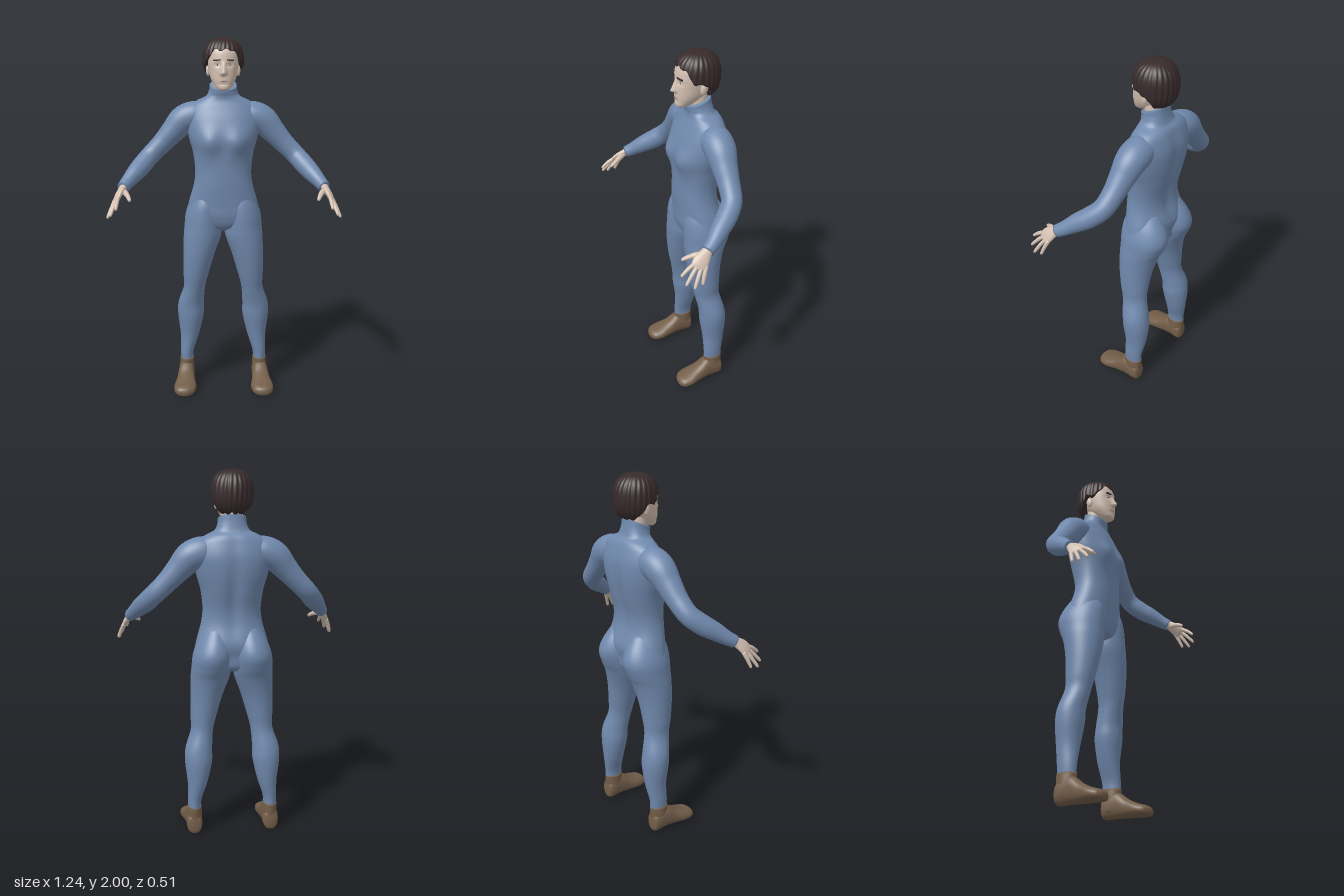
import * as THREE from 'three';

const mat = (name, color) => Object.assign(new THREE.MeshStandardMaterial({ color }), { name });
const gauss = (d, s) => Math.exp(-(d / s) * (d / s));
const Y = new THREE.Vector3(0, 1, 0), Z = new THREE.Vector3(0, 0, 1);

// Closed surface from a grid of rings: rows of equal length, capped at both ends
function skin(rows, n) {
  const pos = [], idx = [];
  rows.forEach(r => r.forEach(p => pos.push(p.x, p.y, p.z)));
  for (let i = 0; i < rows.length - 1; i++) for (let j = 0; j < n; j++) {
    const a = i * n + j, b = i * n + (j + 1) % n, c = a + n, d = b + n;
    idx.push(a, c, b, b, c, d);
  }
  [0, rows.length - 1].forEach((i, end) => {
    const c = new THREE.Vector3();
    rows[i].forEach(p => c.addScaledVector(p, 1 / n));
    const k = pos.length / 3;
    pos.push(c.x, c.y, c.z);
    for (let j = 0; j < n; j++) {
      const a = i * n + j, b = i * n + (j + 1) % n;
      end ? idx.push(k, b, a) : idx.push(k, a, b);
    }
  });
  const g = new THREE.BufferGeometry();
  g.setAttribute('position', new THREE.Float32BufferAttribute(pos, 3));
  g.setIndex(idx);
  g.computeVertexNormals();
  return g;
}

// Smooth loft through sections [x, y, z, halfWidth, halfDepth]
function loft(sections, { axis = null, ref = [1, 0, 0], side = 1, n = 32, steps = 6, k = 2, deform = null } = {}) {
  const spine = new THREE.CatmullRomCurve3(sections.map(s => new THREE.Vector3(s[0] * side, s[1], s[2])), false, 'catmullrom');
  const size = new THREE.CatmullRomCurve3(sections.map(s => new THREE.Vector3(s[3], s[4] ?? s[3], 0)), false, 'catmullrom');
  const R = new THREE.Vector3(ref[0] * side, ref[1], ref[2]);
  const rows = [], count = (sections.length - 1) * steps;
  const pw = v => Math.sign(v) * Math.pow(Math.abs(v), 2 / k);
  for (let i = 0; i <= count; i++) {
    const c = spine.getPoint(i / count), r = size.getPoint(i / count);
    const t = axis ?? spine.getTangent(i / count);
    const u = R.clone().addScaledVector(t, -R.dot(t)).normalize();
    const v = u.clone().cross(t).normalize();
    const row = [];
    for (let j = 0; j < n; j++) {
      const a = j / n * Math.PI * 2;
      const p = c.clone().addScaledVector(u, pw(Math.cos(a)) * r.x).addScaledVector(v, pw(Math.sin(a)) * r.y);
      if (deform) deform(p, Math.sin(a));
      row.push(p);
    }
    rows.push(row);
  }
  return skin(rows, n);
}

// Hair cap: strands radiate from the crown, the hem rises over the face
function hairGeometry() {
  const n = 144, m = 28, rows = [];
  const { lerp, smoothstep } = THREE.MathUtils;
  for (let i = 0; i <= m + 1; i++) {
    const row = [];
    for (let j = 0; j < n; j++) {
      const f = j / n * Math.PI * 2, d = Math.min(f, Math.PI * 2 - f);
      const hem = lerp(lerp(1.935, 1.86, smoothstep(d, 0.45, 1.2)), 1.778, smoothstep(d, 1.5, 2.3)) + 0.007 * Math.sin(11 * f);
      const s = Math.min(i, m) / m;
      const ang = 0.03 + s * (Math.acos((hem - 1.88) / 0.12) - 0.03);
      const c = Math.cos(ang);
      let r = Math.pow(Math.max(0, 1 - Math.pow(Math.abs(c), 2.5)), 0.4);
      r *= 1 + 0.05 * (Math.abs(Math.sin(12 * f + 1.5 * s)) - 0.7) * Math.min(1, s * 3);
      if (i > m) r *= 0.8;
      row.push(new THREE.Vector3(Math.sin(f) * r * 0.111, 1.88 + c * 0.12, -0.095 + Math.cos(f) * r * 0.117));
    }
    rows.push(row);
  }
  return skin(rows.reverse().map(r => r.reverse()), n);
}

export function createModel() {
  const root = new THREE.Group();
  root.name = 'standingPerson';
  const suit = mat('blue suit', 0x7089ad), flesh = mat('skin', 0xd3c0b1), hair = mat('dark hair', 0x372a2b);
  const shoe = mat('brown shoe', 0x735e49), lip = mat('lips', 0xb8958a), eye = mat('eyes', 0xb9b2ac), iris = mat('irises', 0x4a3a34);
  const add = (name, geo, m, parent = root) => {
    const o = new THREE.Mesh(geo, m);
    o.name = name;
    parent.add(o);
    return o;
  };
  const ball = (name, m, p, s) => {
    const o = add(name, new THREE.SphereGeometry(1, 20, 14), m);
    o.position.set(...p);
    o.scale.set(...s);
    return o;
  };

  // Torso with chest, spine groove and tilted collar
  add('torso', loft([
    [0, 0.94, -0.105, 0.05, 0.05], [0, 0.97, -0.1, 0.14, 0.095], [0, 1.03, -0.095, 0.2, 0.11],
    [0, 1.1, -0.1, 0.194, 0.118], [0, 1.2, -0.085, 0.166, 0.108], [0, 1.28, -0.085, 0.157, 0.108],
    [0, 1.38, -0.095, 0.168, 0.12], [0, 1.47, -0.1, 0.192, 0.13], [0, 1.56, -0.112, 0.203, 0.12],
    [0, 1.63, -0.118, 0.185, 0.097], [0, 1.665, -0.118, 0.145, 0.083], [0, 1.69, -0.108, 0.095, 0.071],
    [0, 1.72, -0.1, 0.078, 0.067], [0, 1.752, -0.096, 0.074, 0.065],
  ], {
    axis: Y, n: 64, k: 2.2, deform: (p, s) => {
      const ax = Math.abs(p.x);
      if (s > 0) p.z += s * 0.028 * gauss(ax - 0.085, 0.06) * gauss(p.y - 1.44, 0.07);
      else p.z += 0.018 * gauss(p.x, 0.035) * gauss(p.y - 1.38, 0.22);
      if (p.y > 1.69) p.y -= (p.z + 0.1) * 0.4 * (p.y - 1.69) / 0.06;
    },
  }), suit);

  // Neck
  add('neck', loft([[0, 1.68, -0.105, 0.058], [0, 1.75, -0.097, 0.058, 0.055], [0, 1.82, -0.09, 0.058]], { axis: Y }), flesh);

  // Head with brow, nose, eye sockets and chin
  add('head', loft([
    [0, 1.724, -0.005, 0.022, 0.022], [0, 1.737, -0.022, 0.04, 0.046], [0, 1.78, -0.052, 0.066, 0.077],
    [0, 1.83, -0.075, 0.08, 0.099], [0, 1.88, -0.085, 0.087, 0.107], [0, 1.93, -0.088, 0.084, 0.1],
    [0, 1.965, -0.09, 0.062, 0.075], [0, 1.98, -0.09, 0.025, 0.03],
  ], {
    axis: Y, n: 96, steps: 10, k: 2.25, deform: (p, s) => {
      if (s < 0.2) return;
      const ax = Math.abs(p.x);
      const bridge = p.y > 1.812 ? Math.max(0, 1 - (p.y - 1.812) / 0.065) : Math.max(0, 1 - (1.812 - p.y) / 0.014);
      p.z += 0.03 * bridge * gauss(p.x, 0.009 + 0.006 * bridge);
      p.z -= 0.008 * gauss(ax - 0.032, 0.018) * gauss(p.y - 1.858, 0.013);
      p.z -= 0.004 * gauss(p.x, 0.03) * gauss(p.y - 1.757, 0.008);
    },
  }), flesh);
  ball('mouth', lip, [0, 1.775, 0.022], [0.021, 0.006, 0.005]);
  add('hair', hairGeometry(), hair);

  for (const side of [1, -1]) {
    const tag = side > 0 ? 'left' : 'right';
    const part = (name, sections, m, o = {}) => add(tag + name, loft(sections, { side, ...o }), m);

    // Face details
    ball(tag + 'Eye', eye, [side * 0.033, 1.858, 0.0085], [0.013, 0.005, 0.005]).rotation.y = side * 0.2;
    ball(tag + 'Iris', iris, [side * 0.033, 1.858, 0.011], [0.0045, 0.0045, 0.004]);
    const brow = add(tag + 'Brow', new THREE.BoxGeometry(0.038, 0.007, 0.008), hair);
    brow.position.set(side * 0.036, 1.882, 0.017);
    brow.rotation.set(0, side * 0.25, side * -0.08);
    ball(tag + 'Ear', flesh, [side * 0.082, 1.828, -0.092], [0.012, 0.031, 0.019]).rotation.x = -0.15;

    // Leg with buttock and calf
    part('Leg', [
      [0.215, 0.14, -0.117, 0.035, 0.053], [0.213, 0.2, -0.118, 0.039, 0.055], [0.197, 0.3, -0.125, 0.055, 0.064],
      [0.19, 0.42, -0.122, 0.075, 0.077], [0.187, 0.5, -0.115, 0.074, 0.075], [0.167, 0.6, -0.093, 0.062, 0.073],
      [0.157, 0.68, -0.085, 0.072, 0.082], [0.139, 0.8, -0.083, 0.089, 0.097], [0.12, 0.9, -0.093, 0.106, 0.113],
      [0.113, 0.96, -0.107, 0.108, 0.127], [0.108, 1.03, -0.118, 0.106, 0.137], [0.1, 1.1, -0.112, 0.09, 0.122],
      [0.09, 1.18, -0.1, 0.055, 0.08],
    ], suit, { axis: Y, n: 48 });

    // Shoe: flat-soled foot and ankle
    const sole = p => { p.y = Math.max(p.y, 0); };
    part('Foot', [
      [0.217, 0.05, -0.172, 0.018, 0.03], [0.217, 0.056, -0.155, 0.042, 0.058], [0.218, 0.068, -0.08, 0.046, 0.07],
      [0.22, 0.046, -0.015, 0.053, 0.05], [0.223, 0.032, 0.045, 0.064, 0.036], [0.225, 0.025, 0.09, 0.056, 0.029],
      [0.226, 0.022, 0.11, 0.034, 0.02], [0.226, 0.02, 0.117, 0.012, 0.008],
    ], shoe, { axis: Z, k: 2.3, deform: sole });
    part('Ankle', [[0.217, 0.03, -0.117, 0.042, 0.05], [0.216, 0.1, -0.116, 0.042, 0.055], [0.215, 0.155, -0.117, 0.039, 0.056]], shoe, { axis: Y });

    // Sleeve from shoulder to cuff
    part('Arm', [
      [0.08, 1.585, -0.12, 0.06], [0.15, 1.583, -0.12, 0.08], [0.22, 1.557, -0.12, 0.08], [0.28, 1.495, -0.115, 0.067],
      [0.34, 1.43, -0.11, 0.057], [0.405, 1.365, -0.095, 0.053], [0.45, 1.315, -0.045, 0.053], [0.485, 1.278, 0.008, 0.048],
      [0.52, 1.24, 0.06, 0.038], [0.542, 1.215, 0.1, 0.033],
    ], suit, { ref: [0.6, 0.6, 0.5] });

    // Hand: flat palm, four fingers and a thumb
    part('Palm', [
      [0.535, 1.223, 0.088, 0.024, 0.022], [0.546, 1.208, 0.112, 0.03, 0.019], [0.56, 1.185, 0.14, 0.04, 0.017],
      [0.572, 1.16, 0.162, 0.039, 0.013], [0.577, 1.15, 0.17, 0.025, 0.006],
    ], flesh, { ref: [0.3, -0.25, -0.75] });
    const tips = [[0.565, 1.125, 0.252], [0.597, 1.088, 0.24], [0.617, 1.07, 0.203], [0.611, 1.077, 0.158]];
    tips.forEach((t, i) => {
      const b = [0.56 + i * 0.008, 1.172 - i * 0.007, 0.183 - i * 0.018];
      const at = (f, r, lift = 0) => [...b.map((v, c) => v + (t[c] - v) * f + (c === 1 ? lift : 0)), r];
      part('Finger' + (i + 1), [at(-0.15, 0.01), at(0.35, 0.0105, 0.005), at(0.75, 0.009, 0.003), at(0.95, 0.007), at(1, 0.002)], flesh, { n: 14, steps: 4, ref: [0.8, 0.3, -0.5] });
    });
    part('Thumb', [
      [0.54, 1.203, 0.115, 0.014], [0.522, 1.195, 0.15, 0.015], [0.506, 1.182, 0.183, 0.012],
      [0.496, 1.169, 0.21, 0.009], [0.493, 1.164, 0.218, 0.002],
    ], flesh, { n: 14, steps: 4, ref: [0.8, 0.4, 0.3] });
  }
  return root;
}
